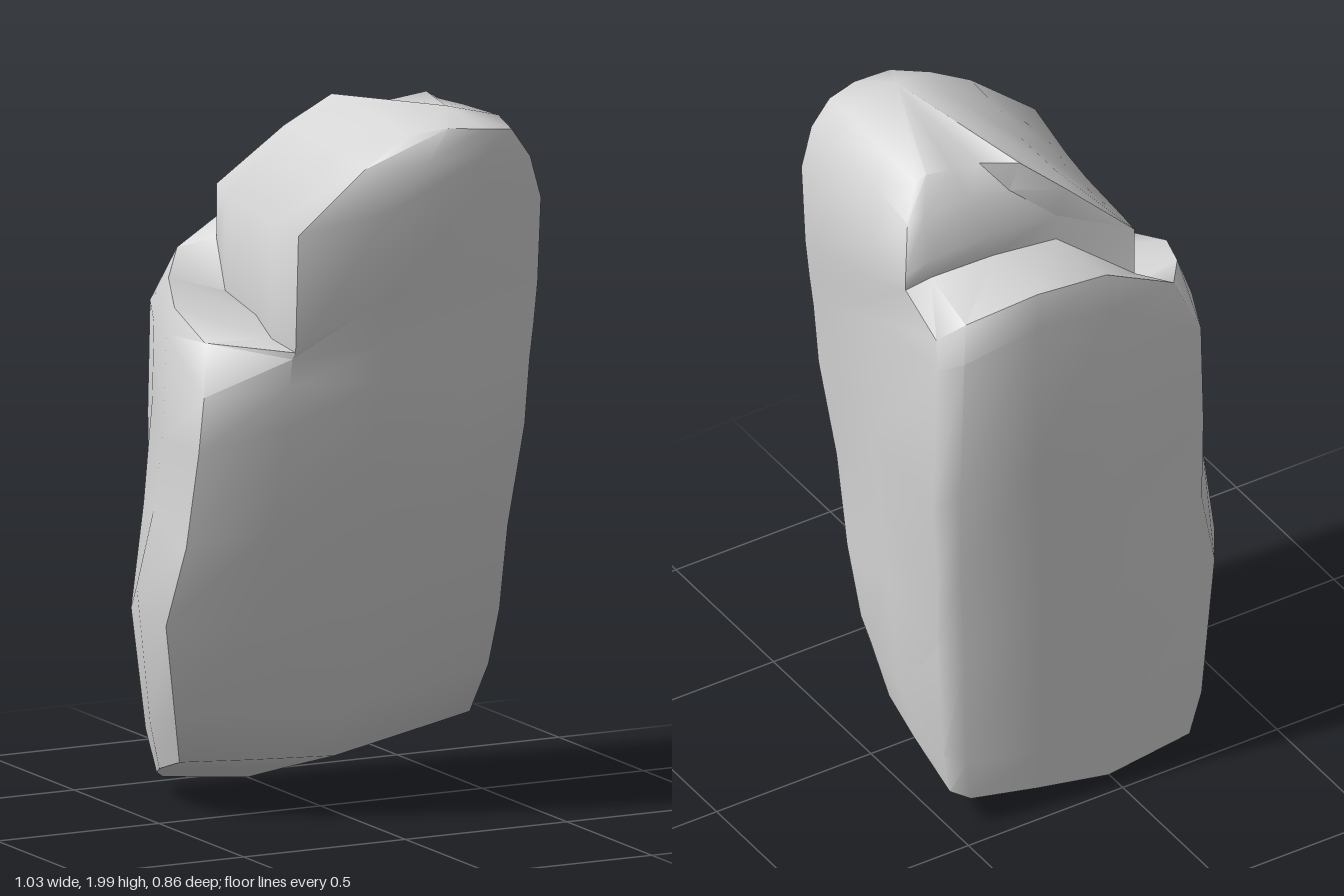
import * as THREE from 'three';
import { toCreasedNormals } from 'three/addons/utils/BufferGeometryUtils.js';

// Outline of the boulder, one row per column: rim x, y, z where the sides end
const RIM = [
  [-0.445, 1.36, -0.06], [-0.465, 1.23, 0.2], [-0.26, 1.26, 0.315], [0, 1.26, 0.365],
  [0.25, 1.26, 0.385], [0.45, 1.28, 0.375], [0.475, 1.35, 0.25], [0.49, 1.48, 0],
  [0.5, 1.52, -0.34], [0.45, 1.56, -0.4], [0.22, 1.6, -0.41], [-0.03, 1.57, -0.41],
  [-0.32, 1.38, -0.395], [-0.4, 1.36, -0.22],
];
// Rounded outer lip of the ledges
const LIP = [
  [-0.42, 1.43, -0.06], [-0.41, 1.36, 0.1], [-0.255, 1.34, 0.32], [0, 1.36, 0.365],
  [0.25, 1.36, 0.385], [0.46, 1.38, 0.38], [0.485, 1.45, 0.26], [0.493, 1.55, 0],
  [0.49, 1.61, -0.32], [0.42, 1.66, -0.36], [0.2, 1.69, -0.38], [-0.03, 1.66, -0.37],
  [-0.26, 1.53, -0.35], [-0.36, 1.48, -0.21],
];
// Foot of the raised crown: the ledges span lip to foot
const FOOT = [
  [-0.2, 1.4, 0], [-0.22, 1.36, 0.13], [-0.25, 1.36, 0.33], [0, 1.5, 0.385],
  [0.25, 1.5, 0.405], [0.47, 1.5, 0.385], [0.49, 1.55, 0.27], [0.495, 1.62, 0],
  [0.495, 1.69, -0.17], [0.42, 1.71, -0.18], [0.22, 1.71, -0.185], [0.02, 1.69, -0.19],
  [-0.17, 1.56, -0.29], [-0.19, 1.43, -0.2],
];
// Height of the crown's shoulder for each column
const SHOULDER = [1.69, 1.68, 1.69, 1.74, 1.78, 1.74, 1.72, 1.74, 1.74, 1.77, 1.78, 1.77, 1.71, 1.69];

// Body levels: y, left, right, back, front
const BODY = [
  [0, -0.4, 0.49, -0.43, 0.04],
  [0.12, -0.45, 0.505, -0.43, 0.13],
  [0.6, -0.52, 0.51, -0.425, 0.235],
  [0.85, -0.485, 0.51, -0.425, 0.31],
  [1.1, -0.475, 0.515, -0.42, 0.375],
];
// Crown levels, in the same order
const CROWN = [
  [1.87, -0.05, 0.45, -0.22, 0.43],
  [1.95, 0.08, 0.39, -0.15, 0.42],
];

// Stretch an outline so that it fills the given rectangle
function fit(outline, [, left, right, back, front]) {
  const xs = outline.map(p => p[0]), zs = outline.map(p => p[2]);
  const map = THREE.MathUtils.mapLinear;
  return outline.map(([x, , z]) => [
    map(x, Math.min(...xs), Math.max(...xs), left, right),
    map(z, Math.min(...zs), Math.max(...zs), back, front),
  ]);
}

// Underside rises toward the front and both sides
const underside = (x, z) => 0.005 + (x > 0 ? 0.2 : 0.1) * Math.abs(x) + 0.3 * (z + 0.43);

function buildRings() {
  const rings = BODY.map((level, k) => fit(RIM, level).map(([x, z], i) => {
    if (k < 2) return [x, underside(x, z) + level[0], z];
    // Worn, uneven sides, hollowed along the front corner
    const wear = 1 - 0.02 * (1 + Math.sin(i * 2.3 + k * 1.9));
    const corner = i === 5 || i === 6 ? (k === 3 ? 0.92 : 0.96) : 1;
    return [x * (Math.abs(x) > 0.45 ? 1 : wear) * corner, level[0] + 0.05 * Math.sin(i * 1.7 + k), z * wear];
  }));
  rings.push(RIM, LIP, FOOT, FOOT.map(([x, , z], i) => [x, SHOULDER[i], z * (z > 0.3 ? 1.05 : 1)]));
  CROWN.forEach((level, k) => rings.push(fit(FOOT, level).map(([x, z], i) =>
    [x, level[0] + 0.012 * Math.sin(i * 2.1 + k), z])));
  return rings;
}

// Join the rings into a closed skin with a fan at each end
function loft(rings, bottom, top) {
  const n = rings[0].length, index = [];
  const points = [...rings.flat(), bottom, top];
  const low = points.length - 2, high = low + 1, last = (rings.length - 1) * n;
  for (let i = 0; i < n; i++) {
    const j = (i + 1) % n;
    for (let k = 0; k < rings.length - 1; k++) {
      const a = k * n + i, b = k * n + j;
      index.push(a, b, b + n, a, b + n, a + n);
    }
    index.push(low, j, i, high, last + i, last + j);
  }
  const geometry = new THREE.BufferGeometry();
  geometry.setAttribute('position', new THREE.Float32BufferAttribute(points.flat(), 3));
  geometry.setIndex(index);
  return toCreasedNormals(geometry, 0.95);
}

export function createModel() {
  const stone = new THREE.MeshStandardMaterial({ color: 0xd4d4d4 });
  stone.name = 'grey stone';
  const group = new THREE.Group();
  group.name = 'boulder';
  const rock = new THREE.Mesh(loft(buildRings(), [0, 0.07, -0.22], [0.23, 2, 0.3]), stone);
  rock.name = 'rock';
  group.add(rock);
  return group;
}
